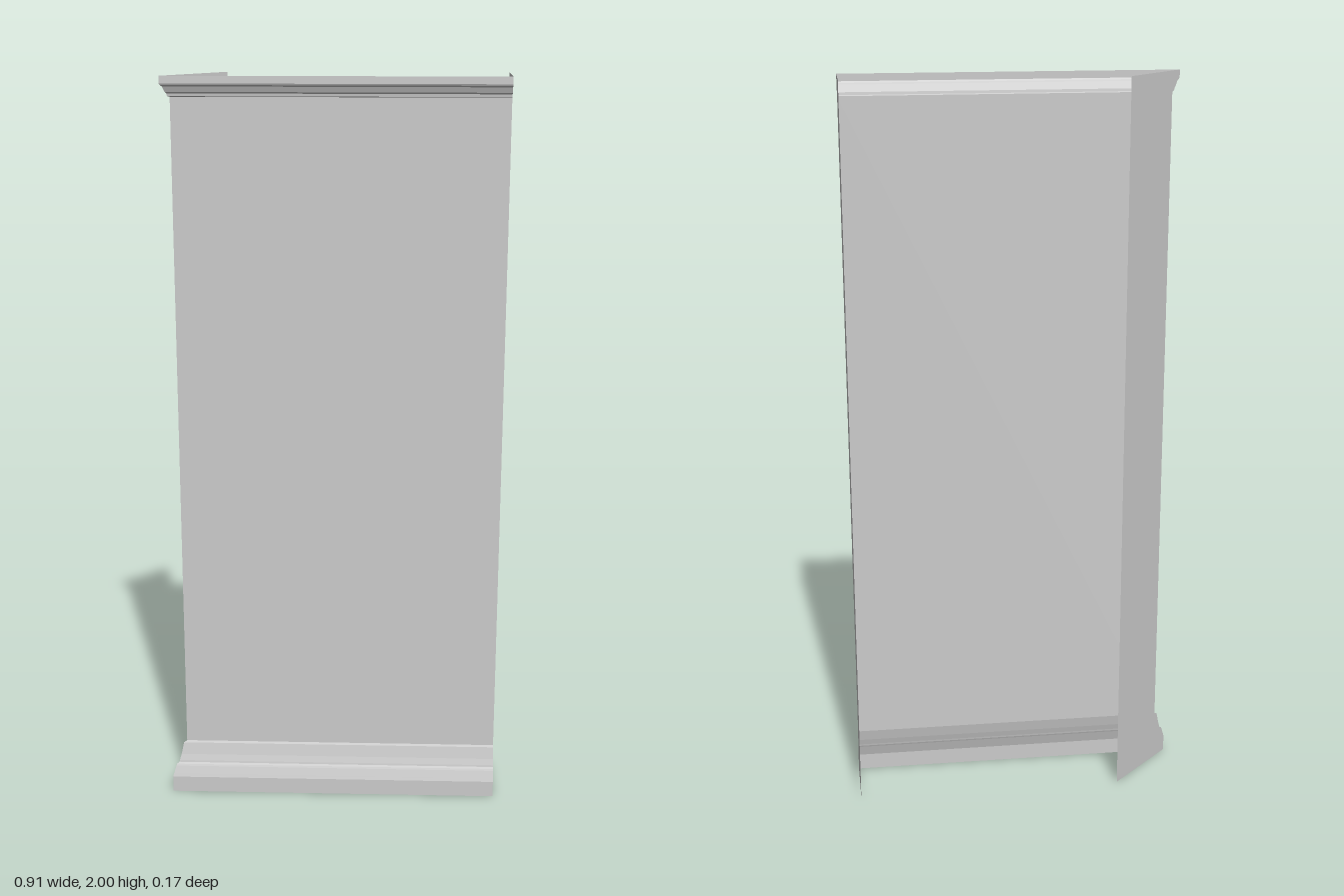
import * as THREE from 'three';

const RIGHT = 0.455;                     // square end
const BACK = -0.087;                     // rear edge of the end walls
const miterX = (z) => -0.368 - z;        // 45 degree end

// Profiles as [z, y], from the floor upwards
const base = [
  [0.087, 0], [0.087, 0.045], [0.084, 0.055], [0.078, 0.075], [0.076, 0.08],
  [0.07, 0.083], [0.069, 0.088], [0.064, 0.105], [0.057, 0.138], [0.049, 0.141],
];
const crown = [
  [0.049, 1.946], [0.055, 1.948], [0.056, 1.955], [0.06, 1.959],
  [0.066, 1.973], [0.071, 1.977], [0.073, 1.981], [0.073, 2],
];
const face = [base[base.length - 1], crown[0]];

const material = new THREE.MeshStandardMaterial({
  color: 0xcccccc, flatShading: true, side: THREE.DoubleSide,
});

function addMesh(group, name, geometry) {
  const mesh = new THREE.Mesh(geometry, material);
  mesh.name = name;
  group.add(mesh);
}

// Runs a profile along x, from the mitred end to the square end
function sweep(profile) {
  const positions = [];
  for (let i = 0; i < profile.length - 1; i++) {
    const [z0, y0] = profile[i];
    const [z1, y1] = profile[i + 1];
    const a = [miterX(z0), y0, z0], b = [RIGHT, y0, z0];
    const c = [RIGHT, y1, z1], d = [miterX(z1), y1, z1];
    positions.push(...a, ...b, ...c, ...a, ...c, ...d);
  }
  const geometry = new THREE.BufferGeometry();
  geometry.setAttribute('position', new THREE.Float32BufferAttribute(positions, 3));
  geometry.computeVertexNormals();
  return geometry;
}

// Flat end wall outlined by the whole profile, placed at x = xAt(z)
function endWall(xAt, flip) {
  const outline = [[BACK, 0], ...base, ...crown, [BACK, 2]];
  const shape = new THREE.Shape(outline.map(([z, y]) => new THREE.Vector2(z, y)));
  const geometry = new THREE.ShapeGeometry(shape);
  const p = geometry.attributes.position;
  for (let i = 0; i < p.count; i++) {
    const z = p.getX(i);
    p.setXYZ(i, xAt(z), p.getY(i), z);
  }
  if (flip) geometry.index.array.reverse();
  geometry.computeVertexNormals();
  return geometry;
}

export function createModel() {
  const group = new THREE.Group();
  group.name = 'mouldedPanel';
  addMesh(group, 'baseMoulding', sweep(base));
  addMesh(group, 'frontPanel', sweep(face));
  addMesh(group, 'crownMoulding', sweep(crown));
  addMesh(group, 'squareEndWall', endWall(() => RIGHT, true));
  addMesh(group, 'mitredEndWall', endWall(miterX, false));
  return group;
}
